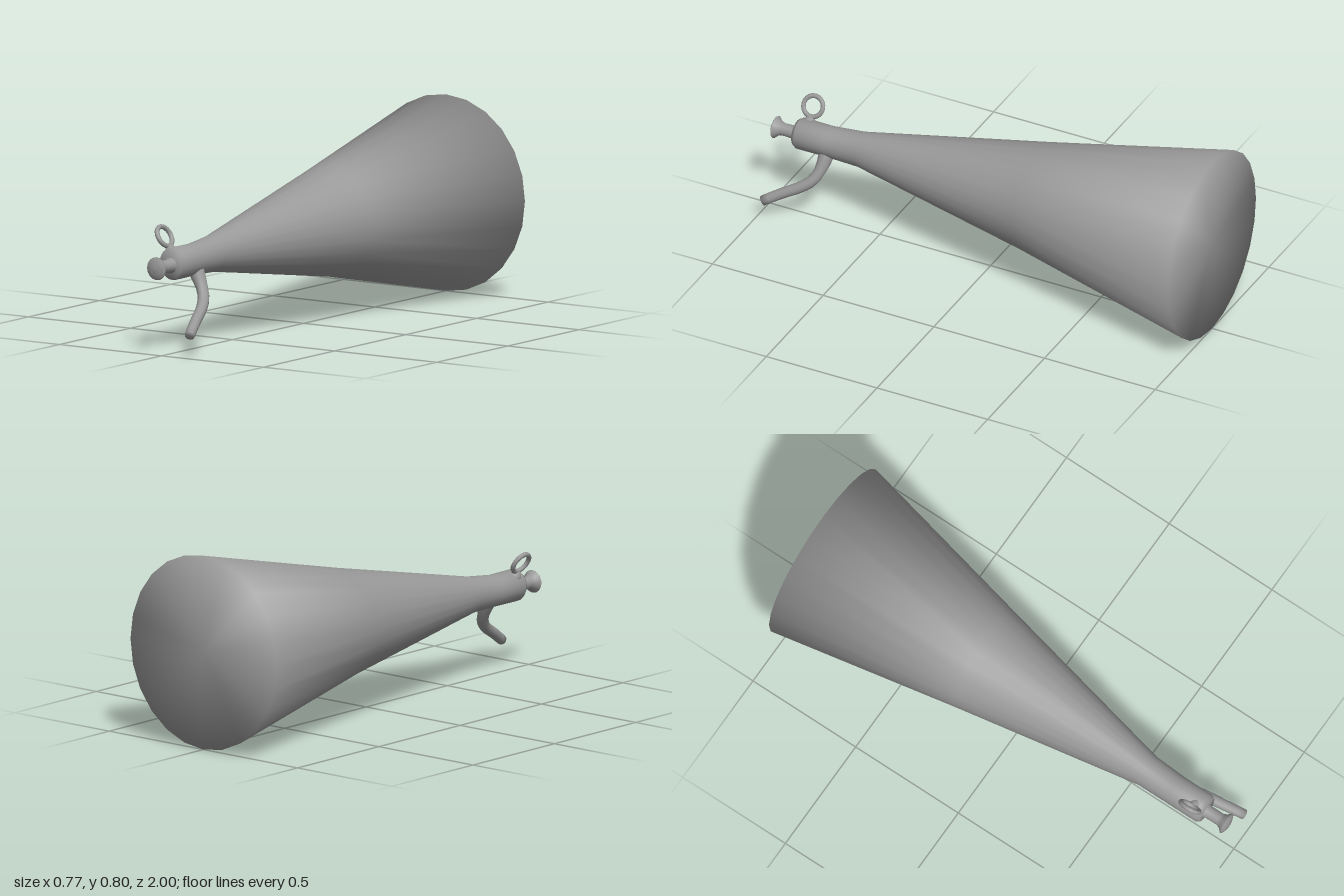
import * as THREE from 'three';

const material = new THREE.MeshStandardMaterial({ color: 0x999999, side: THREE.DoubleSide });
const V = (x, y, z) => new THREE.Vector3(x, y, z);

// Axis of the neck, and the slanted direction shared by ring and lever
const NECK = V(-0.032, 0.355, 0);
const SLANT = V(-0.49, 0.87, 0).normalize();
const fromNeck = (distance, z) => NECK.clone().addScaledVector(SLANT, distance).setZ(z);

function addMesh(group, name, geometry) {
  const mesh = new THREE.Mesh(geometry, material);
  mesh.name = name;
  group.add(mesh);
  return mesh;
}

// Smooth normals: face normals weighted by the corner angle, so slim faces count fully
function smoothNormals(points, index) {
  const normals = points.map(() => V(0, 0, 0));
  for (let i = 0; i < index.length; i += 3) {
    const tri = index.slice(i, i + 3);
    tri.forEach((corner, k) => {
      const p = points[corner];
      const e1 = points[tri[(k + 1) % 3]].clone().sub(p);
      const e2 = points[tri[(k + 2) % 3]].clone().sub(p);
      const angle = e1.angleTo(e2);
      normals[corner].addScaledVector(e1.cross(e2).normalize(), angle);
    });
  }
  return normals.map((n) => n.normalize());
}

// Closed smooth skin over elliptical rings { c: centre, u, v: half axes }, flat at both ends
function loft(rings, sides) {
  const points = [], index = [];
  for (const { c, u, v } of rings) {
    for (let j = 0; j < sides; j++) {
      const a = (j / sides) * Math.PI * 2;
      points.push(c.clone().addScaledVector(u, Math.cos(a)).addScaledVector(v, Math.sin(a)));
    }
  }
  const last = (rings.length - 1) * sides, startCentre = points.length, endCentre = startCentre + 1;
  points.push(rings[0].c.clone(), rings[rings.length - 1].c.clone());
  for (let j = 0; j < sides; j++) {
    const next = (j + 1) % sides;
    for (let base = 0; base < last; base += sides) {
      const a = base + j, b = base + next;
      index.push(a, b, b + sides, a, b + sides, a + sides);
    }
    index.push(startCentre, next, j, endCentre, last + j, last + next);
  }
  const geometry = new THREE.BufferGeometry().setFromPoints(points);
  const normals = smoothNormals(points, index).flatMap((n) => n.toArray());
  geometry.setAttribute('normal', new THREE.Float32BufferAttribute(normals, 3));
  geometry.setIndex(index);
  return geometry;
}

export function createModel() {
  const group = new THREE.Group();
  group.name = 'horn';

  // Long flaring horn running into the neck: x, y, z, half width, half height
  const sections = [
    [0, 0.4, -1, 0.387, 0.4],
    [-0.015, 0.387, -0.2, 0.225, 0.225],
    [-0.03, 0.362, 0.6, 0.067, 0.075],
    [-0.032, 0.355, 0.74, 0.063, 0.065],
    [-0.032, 0.355, 0.875, 0.063, 0.066],
    [-0.032, 0.355, 0.89, 0.054, 0.056],
  ];
  addMesh(group, 'hornBody', loft(
    sections.map(([x, y, z, w, h]) => ({ c: V(x, y, z), u: V(w, 0, 0), v: V(0, h, 0) })), 24));

  // Mouthpiece: thin stem with a flared, slightly domed end
  const profile = [[0.036, 0.88], [0.027, 0.9], [0.026, 0.955], [0.032, 0.97],
    [0.047, 0.986], [0.044, 0.99], [0.025, 0.998], [0, 1]];
  const mouthpiece = new THREE.LatheGeometry(profile.map(([r, z]) => new THREE.Vector2(r, z)), 16);
  mouthpiece.rotateX(Math.PI / 2);
  addMesh(group, 'mouthpiece', mouthpiece).position.set(-0.033, 0.35, 0);

  // Hanging ring standing slanted on the neck, with a tapered foot
  const across = V(0, 0, 1).cross(SLANT);
  const ring = addMesh(group, 'hangingRing', new THREE.TorusGeometry(0.043, 0.01, 8, 20));
  ring.position.copy(fromNeck(0.119, 0.848));
  ring.quaternion.setFromRotationMatrix(new THREE.Matrix4().makeBasis(V(0, 0, 1), SLANT, across));
  const foot = [[0.045, 0.04], [0.064, 0.022], [0.08, 0.011]];
  addMesh(group, 'ringFoot', loft(foot.map(([s, r]) => (
    { c: fromNeck(s, 0.848), u: across.clone().multiplyScalar(r), v: V(0, 0, -r) })), 12));

  // Bent lever on the opposite side: distance from the neck axis, z
  const path = [[0.03, 0.742], [0.11, 0.752], [0.165, 0.774], [0.205, 0.815], [0.255, 0.895], [0.305, 0.97]];
  const curve = new THREE.CatmullRomCurve3(path.map(([s, z]) => fromNeck(-s, z)));
  const steps = 12;
  const frames = curve.computeFrenetFrames(steps);
  const leverRings = frames.normals.map((normal, i) => {
    const r = 0.021 + 0.005 * (1 - i / steps) + 0.01 * Math.max(0, 1 - i / 3);
    return {
      c: curve.getPointAt(i / steps),
      u: normal.clone().multiplyScalar(r),
      v: frames.binormals[i].clone().multiplyScalar(r),
    };
  });
  addMesh(group, 'lever', loft(leverRings, 10));

  return group;
}
